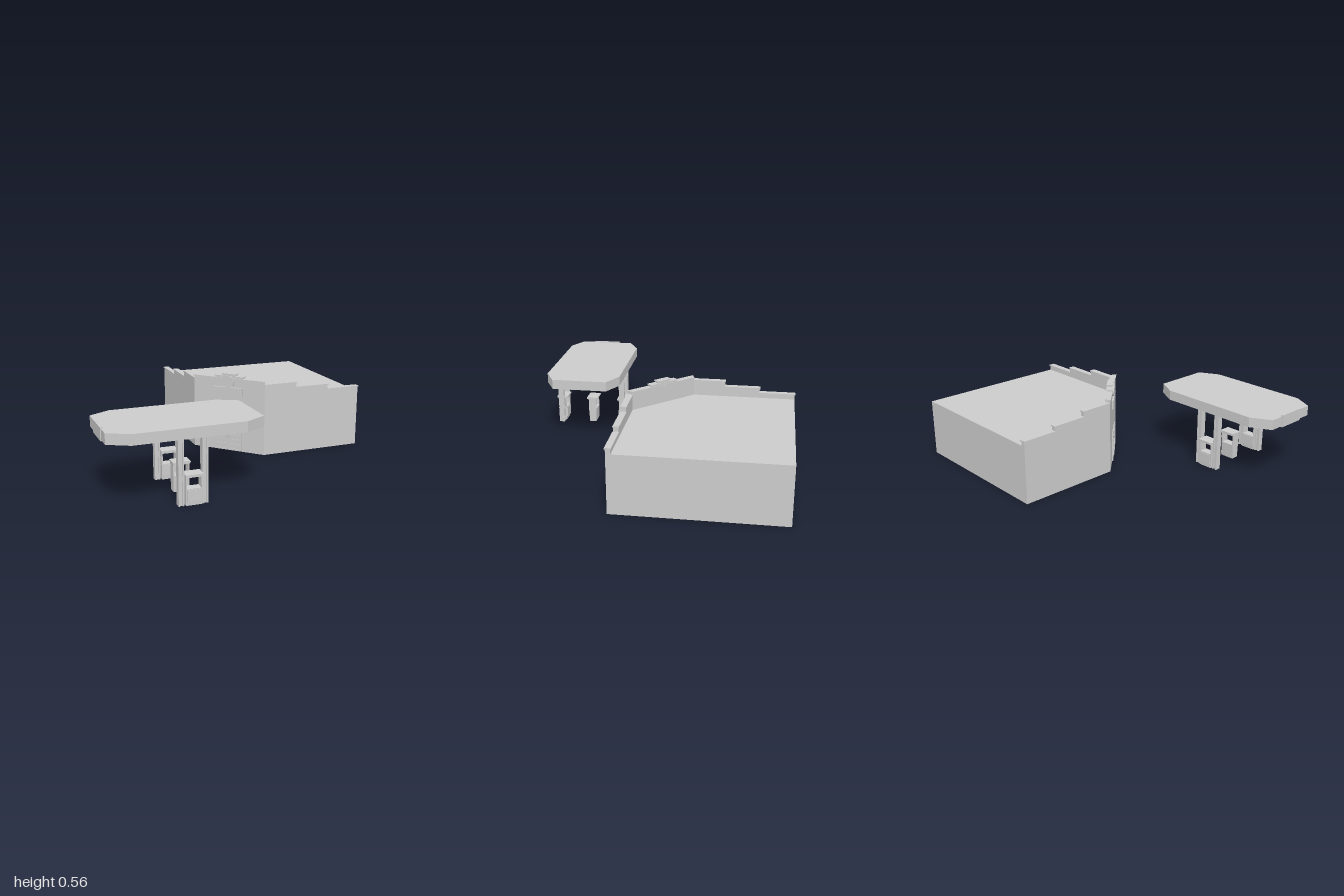
import * as THREE from 'three';

const material = new THREE.MeshStandardMaterial({ color: 0xcccccc, flatShading: true });

export function createModel() {
  const root = new THREE.Group();
  root.name = 'fillingStation';

  const add = (parent, name, geometry) => {
    const mesh = new THREE.Mesh(geometry, material);
    mesh.name = name;
    parent.add(mesh);
    return mesh;
  };
  const group = (parent, name) => {
    const g = new THREE.Group();
    g.name = name;
    parent.add(g);
    return g;
  };
  // Box given by its limits on each axis
  const box = (parent, name, x0, x1, y0, y1, z0, z1) => {
    const m = add(parent, name, new THREE.BoxGeometry(x1 - x0, y1 - y0, z1 - z0));
    m.position.set((x0 + x1) / 2, (y0 + y1) / 2, (z0 + z1) / 2);
    return m;
  };
  // Upright prism over a plan outline of [x, z] points, with an optional hole
  const prism = (parent, name, plan, y0, y1, hole) => {
    const toPoints = (p) => p.map(([x, z]) => new THREE.Vector2(x, -z));
    const shape = new THREE.Shape(toPoints(plan));
    if (hole) shape.holes.push(new THREE.Path(toPoints(hole)));
    const geo = new THREE.ExtrudeGeometry(shape, { depth: y1 - y0, bevelEnabled: false });
    geo.rotateX(-Math.PI / 2).translate(0, y0, 0);
    return add(parent, name, geo);
  };

  // ---- Shop: a block with one cut corner ----
  const shop = group(root, 'shop');
  prism(shop, 'shopBody',
    [[-0.11, -0.89], [0.99, -0.89], [0.99, 0.21], [0.26, 0.21], [-0.11, -0.18]], 0, 0.395);

  // Stepped parapets along the front and the side, each step with a coping
  const parapet = group(shop, 'parapet');
  const frontSteps = [[0.26, 0.5, 0.505], [0.5, 0.745, 0.47], [0.745, 0.99, 0.435]];
  frontSteps.forEach(([a, b, top], i) => {
    const inner = i === 0 ? 0.275 : a;
    prism(parapet, 'frontParapet', [[a, 0.21], [b, 0.21], [b, 0.178], [inner, 0.178]], 0.395, top - 0.008);
    prism(parapet, 'frontCoping', [[a, 0.215], [b + 0.004, 0.215], [b + 0.004, 0.173], [inner, 0.173]], top - 0.008, top);
  });
  const sideSteps = [[-0.18, -0.41, 0.505], [-0.41, -0.65, 0.467], [-0.65, -0.89, 0.433]];
  sideSteps.forEach(([a, b, top], i) => {
    const inner = i === 0 ? -0.195 : a;
    prism(parapet, 'sideParapet', [[-0.11, a], [-0.11, b], [-0.08, b], [-0.08, inner]], 0.395, top - 0.008);
    prism(parapet, 'sideCoping', [[-0.115, a], [-0.115, b - 0.004], [-0.075, b - 0.004], [-0.075, inner]], top - 0.008, top);
  });
  prism(parapet, 'cornerParapet', [[-0.11, -0.18], [0.26, 0.21], [0.275, 0.178], [-0.08, -0.195]], 0.395, 0.517);
  prism(parapet, 'cornerCoping', [[-0.117, -0.18], [0.26, 0.217], [0.278, 0.173], [-0.075, -0.198]], 0.517, 0.525);

  // ---- Entrance on the cut corner; local +z points outward ----
  const entrance = group(shop, 'entrance');
  entrance.position.set(0.075, 0, 0.015);
  entrance.rotation.y = -0.811;
  [[0.11, 0.525, 0.54], [0.055, 0.54, 0.556]].forEach(([half, y0, y1]) => {
    box(entrance, 'crestStep', -half + 0.006, half - 0.006, y0, y1 - 0.006, -0.035, 0);
    box(entrance, 'crestCoping', -half, half, y1 - 0.006, y1, -0.04, 0.005);
  });
  box(entrance, 'signPanel', -0.115, 0.105, 0.397, 0.46, 0, 0.012);
  const disc = add(entrance, 'roundSign', new THREE.CylinderGeometry(0.042, 0.042, 0.012, 24));
  disc.rotation.x = Math.PI / 2;
  disc.position.set(0, 0.499, 0.005);

  // Two door leaves with raised frames and glazing bars
  for (const side of [-1, 1]) {
    const leaf = group(entrance, 'doorLeaf');
    leaf.position.x = side * 0.053;
    box(leaf, 'doorPanel', -0.047, 0.047, 0.004, 0.218, -0.002, 0.002);
    for (const s of [-1, 1]) box(leaf, 'doorStile', s * 0.043 - 0.006, s * 0.043 + 0.006, 0.002, 0.22, 0, 0.007);
    for (const y of [0.01, 0.045, 0.08, 0.115, 0.15, 0.185, 0.213]) {
      box(leaf, 'doorRail', -0.043, 0.043, y - 0.005, y + 0.005, 0, 0.006);
    }
    box(leaf, 'doorMullion', -0.004, 0.004, 0.12, 0.213, 0, 0.005);
    box(leaf, 'doorHandle', -side * 0.038 - 0.003, -side * 0.038 + 0.003, 0.085, 0.125, 0.006, 0.012);
  }

  // ---- Canopy: an octagonal slab with a deep rim, hollow underneath ----
  const canopy = group(root, 'canopy');
  const octagon = (inset) => {
    const w = 0.4875 - inset, d = 0.265 - inset, cx = 0.135 - inset * 0.4, cz = 0.072 - inset * 0.4;
    return [[-w, d - cz], [-w + cx, d], [w - cx, d], [w, d - cz],
      [w, -d + cz], [w - cx, -d], [-w + cx, -d], [-w, -d + cz]]
      .map(([x, z]) => [x - 0.5075, z + 0.615]);
  };
  prism(canopy, 'canopyRoof', octagon(0), 0.45, 0.475);
  prism(canopy, 'canopyRim', octagon(0), 0.407, 0.45, octagon(0.03));
  prism(canopy, 'ceilingTrim', octagon(0.06), 0.435, 0.45, octagon(0.075));
  box(canopy, 'canopySign', -1.0, -0.985, 0.4, 0.482, 0.52, 0.715);

  // Four columns of H section
  for (const x of [-0.572, -0.423]) {
    for (const z of [0.39, 0.86]) {
      const column = group(canopy, 'column');
      column.position.set(x, 0, z);
      for (const s of [-1, 1]) box(column, 'columnFlange', s * 0.013 - 0.005, s * 0.013 + 0.005, 0, 0.452, -0.02, 0.02);
      box(column, 'columnWeb', -0.009, 0.009, 0, 0.452, -0.012, 0.012);
    }
  }

  // ---- Fuel pumps: tapered cabinet, open middle between posts, cap ----
  [0.39, 0.625, 0.86].forEach((z, i) => {
    const pump = group(root, 'pump');
    pump.position.set(-0.495, 0, z);
    const cabinet = new THREE.BoxGeometry(0.104, 0.1, 0.06);
    const p = cabinet.attributes.position;
    for (let k = 0; k < p.count; k++) if (p.getY(k) < 0) p.setZ(k, p.getZ(k) * 0.82);
    cabinet.computeVertexNormals();
    add(pump, 'pumpCabinet', cabinet).position.y = 0.055;
    box(pump, 'pumpPlinth', -0.05, 0.05, 0, 0.006, -0.024, 0.024);
    for (const s of [-1, 1]) {
      box(pump, 'pumpPost', s * 0.049 - 0.004, s * 0.049 + 0.004, 0.1, 0.18, -0.028, 0.028);
      if (i !== 1) box(pump, 'nozzleHolder', -0.046, 0.046, 0.03, 0.1, s * 0.03 - 0.004, s * 0.03 + 0.004);
    }
    box(pump, 'pumpCapBase', -0.053, 0.053, 0.175, 0.184, -0.033, 0.033);
    box(pump, 'pumpCap', -0.056, 0.056, 0.184, 0.195, -0.041, 0.041);
  });

  return root;
}
